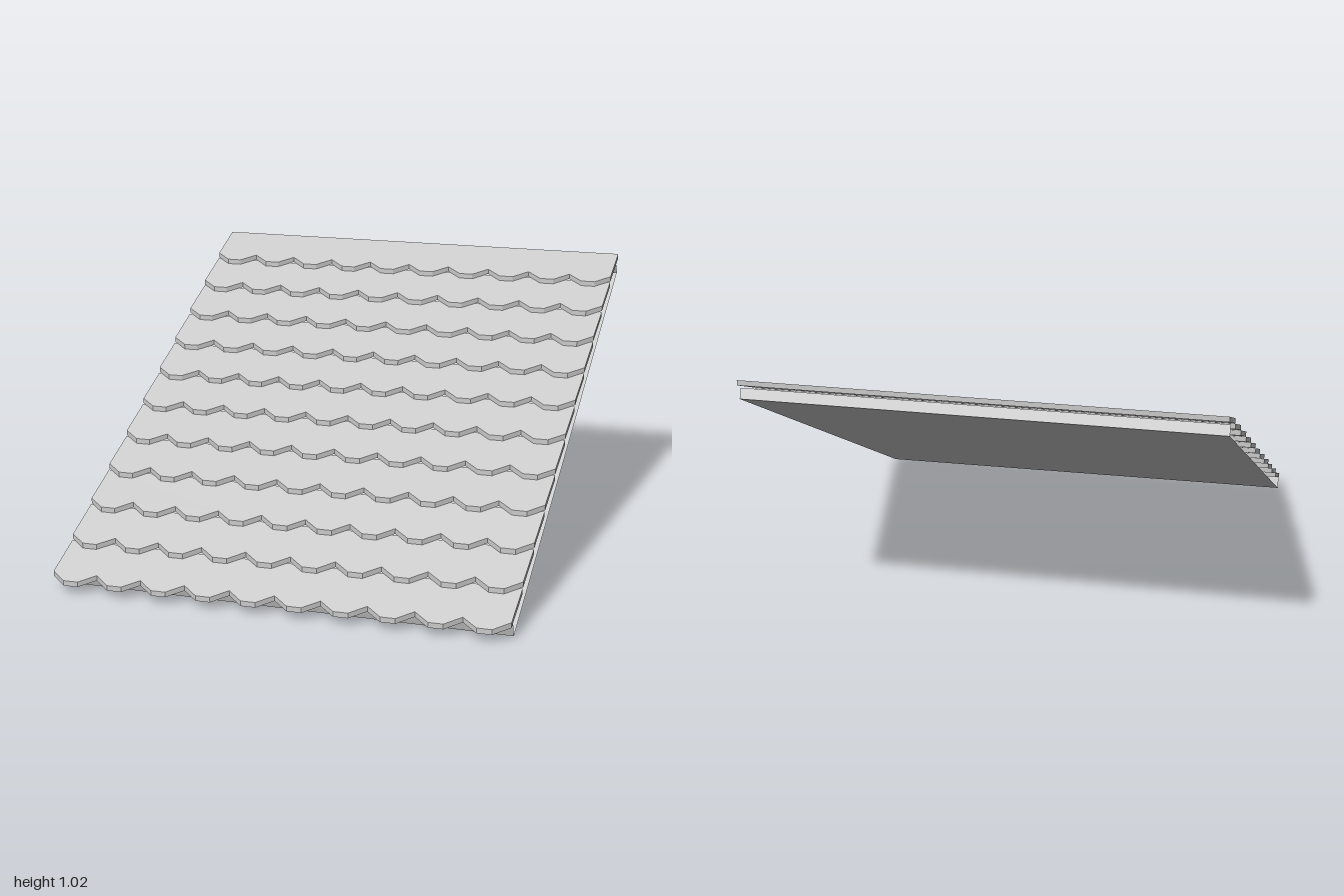
import * as THREE from 'three';

const HALF = 0.887;      // half width of the roof
const ROWS = 11, COLS = 10;
const ROW_DZ = 0.1785, ROW_DY = 0.0892;
const LENGTH = 0.215, THICK = 0.02, NOTCH = 0.044, SLOPE = 0.385;

// One course of shingles: scalloped plan, extruded upward, then sheared to the pitch
function courseGeometry() {
  const w = (2 * HALF) / COLS;
  const shape = new THREE.Shape();
  shape.moveTo(-HALF, LENGTH);
  shape.lineTo(-HALF, NOTCH);
  for (let i = 0; i < COLS; i++) {
    const x = -HALF + i * w;
    shape.lineTo(x + w * 0.34, 0);
    shape.lineTo(x + w * 0.66, 0);
    shape.lineTo(x + w, NOTCH);
  }
  shape.lineTo(HALF, LENGTH);
  const g = new THREE.ExtrudeGeometry(shape, { depth: THICK, bevelEnabled: false });
  g.rotateX(-Math.PI / 2);
  const p = g.attributes.position;
  for (let i = 0; i < p.count; i++) p.setY(i, p.getY(i) - SLOPE * p.getZ(i));
  g.computeVertexNormals();
  return g;
}

// Thin lining: front lip, sloping underside and back lip, open at both ends
function liningGeometry() {
  const profile = [[0.05, 0.93], [0, 0.915], [0.947, -0.982], [0.984, -0.965]]; // [y, z]
  const lift = [0.006, 0.011, 0, 0]; // the front sags slightly towards +x
  const pos = [];
  for (let i = 0; i < profile.length - 1; i++) {
    const corner = (j, s) => [s * HALF, profile[j][0] + (s < 0 ? lift[j] : 0), profile[j][1]];
    const a = corner(i, -1), b = corner(i, 1), c = corner(i + 1, 1), d = corner(i + 1, -1);
    pos.push(...a, ...d, ...c, ...a, ...c, ...b);
  }
  const g = new THREE.BufferGeometry();
  g.setAttribute('position', new THREE.Float32BufferAttribute(pos, 3));
  g.computeVertexNormals();
  return g;
}

export function createModel() {
  const model = new THREE.Group();
  model.name = 'shingleRoof';

  // Overlapping shingle courses from eave to ridge
  const shingleMat = new THREE.MeshStandardMaterial({ color: 0xcccccc, flatShading: true });
  const course = courseGeometry();
  const shingles = new THREE.Group();
  shingles.name = 'shingles';
  for (let k = 0; k < ROWS; k++) {
    const row = new THREE.Mesh(course, shingleMat);
    row.name = `shingleCourse${k + 1}`;
    row.position.set(0, 0.03 + k * ROW_DY, 1 - k * ROW_DZ);
    shingles.add(row);
  }
  model.add(shingles);

  // Lining beneath the shingles
  const lining = new THREE.Mesh(
    liningGeometry(),
    new THREE.MeshStandardMaterial({ color: 0xcccccc, flatShading: true, side: THREE.DoubleSide })
  );
  lining.name = 'underPanel';
  model.add(lining);

  return model;
}
